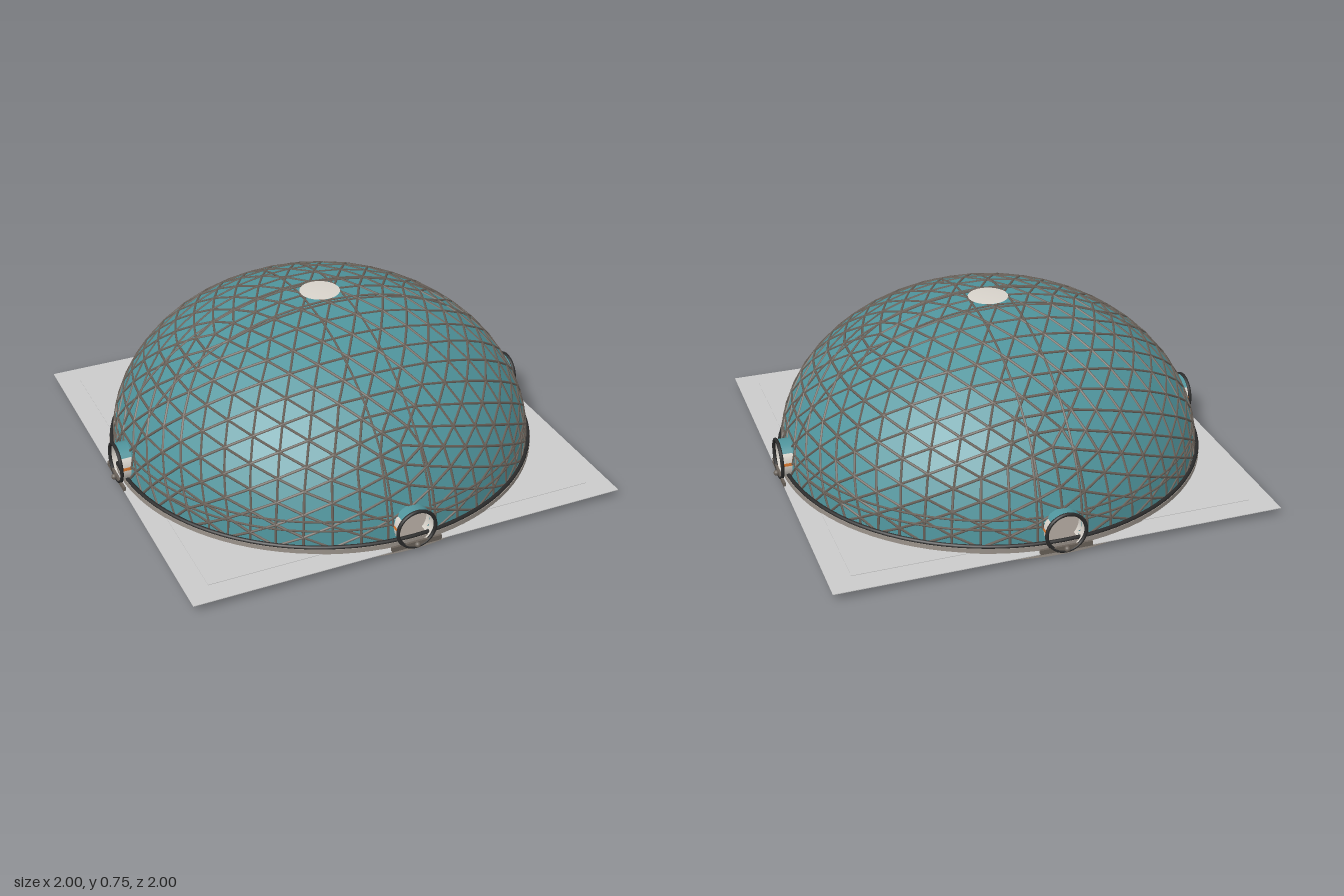
import * as THREE from 'three';
import { mergeGeometries } from 'three/addons/utils/BufferGeometryUtils.js';

const R = 0.94, H = 0.695, BASE = 0.05;          // dome radius, rise and springing height
const DOOR_Y = 0.11, DOOR_R = 0.086;             // portal axis height and radius

const paint = (color, extra = {}) => new THREE.MeshStandardMaterial({ color, ...extra });
const teal = paint(0x4f949c, { side: THREE.DoubleSide, flatShading: true });
const tealSmooth = paint(0x4f949c, { side: THREE.DoubleSide });
const steel = paint(0x6a625a);
const dark = paint(0x2b2b2b);
const stone = paint(0x9a928a);
const pale = paint(0xd8d3cb, { side: THREE.DoubleSide });
const orange = paint(0xd9772f, { side: THREE.DoubleSide });
const grey = paint(0xcccccc);

function add(parent, name, geometry, material, x = 0, y = 0, z = 0) {
  const mesh = new THREE.Mesh(geometry, material);
  mesh.name = name;
  mesh.position.set(x, y, z);
  parent.add(mesh);
  return mesh;
}

// True where a point of the shell lies in one of the four doorways
function inDoor(p) {
  const across = Math.min(Math.abs(p.x), Math.abs(p.z));
  return p.y < 0.167 && Math.hypot(across, p.y - DOOR_Y) < DOOR_R - 0.004;
}
const centre = (...pts) => pts.reduce((s, p) => s.add(p), new THREE.Vector3()).divideScalar(pts.length);

// Geodesic triangles of the upper half, flattened to the dome's proportions
function domeTriangles() {
  const pos = new THREE.IcosahedronGeometry(1, 8).attributes.position;
  const tris = [];
  for (let i = 0; i < pos.count; i += 3) {
    const t = [0, 1, 2].map((k) => new THREE.Vector3().fromBufferAttribute(pos, i + k));
    if (t.every((p) => p.y < 0.001)) continue;
    t.forEach((p) => {
      p.y = Math.max(p.y, 0);
      p.normalize().multiply(new THREE.Vector3(R, H, R));
      p.y += BASE;
    });
    tris.push(t);
  }
  return tris;
}

// Panels, split finely around the doorways so that these can be cut out
function panelGeometry(tris) {
  const out = [];
  const emit = (a, b, c, level) => {
    const m = centre(a, b, c);
    const near = m.y < 0.3 && Math.min(Math.abs(m.x), Math.abs(m.z)) < 0.2;
    if (near && level < 3) {
      const ab = centre(a, b), bc = centre(b, c), ca = centre(c, a);
      [[a, ab, ca], [ab, b, bc], [ca, bc, c], [ab, bc, ca]].forEach((t) => emit(...t, level + 1));
    } else if (!inDoor(m)) out.push(a, b, c);
  };
  tris.forEach((t) => emit(...t, 0));
  const g = new THREE.BufferGeometry().setFromPoints(out);
  g.computeVertexNormals();
  return g;
}

// One thin square strut along each triangle edge
function strutGeometry(tris) {
  const seen = new Set(), parts = [], up = new THREE.Vector3(0, 1, 0);
  const key = (p) => p.toArray().map((v) => Math.round(v * 1000)).join();
  for (const t of tris) {
    for (let k = 0; k < 3; k++) {
      const a = t[k], b = t[(k + 1) % 3], mid = centre(a, b), id = [key(a), key(b)].sort().join('|');
      const len = a.distanceTo(b);
      if (seen.has(id) || len < 0.01 || inDoor(mid)) continue;
      seen.add(id);
      const g = new THREE.CylinderGeometry(0.006, 0.006, len, 5, 1, true);
      g.applyQuaternion(new THREE.Quaternion().setFromUnitVectors(up, b.clone().sub(a).normalize()));
      parts.push(g.translate(mid.x, mid.y, mid.z));
    }
  }
  return mergeGeometries(parts);
}

// Tube along a curve given by a function of t in 0..1
function tube(fn, segments, radius) {
  const pts = Array.from({ length: 33 }, (_, i) => fn(i / 32));
  return new THREE.TubeGeometry(new THREE.CatmullRomCurve3(pts), segments, radius, 5);
}

// Paired arches over the dome, and hoops between the portals
function ribGeometry() {
  const parts = [];
  for (const c of [-0.087, 0.087]) {
    const k = Math.sqrt(1 - (c / R) ** 2);
    const arch = tube((s) => {
      const t = 0.1 + s * (Math.PI - 0.2);
      return new THREE.Vector3(c, BASE + H * k * Math.sin(t), R * k * Math.cos(t));
    }, 64, 0.005);
    parts.push(arch, arch.clone().rotateY(Math.PI / 2));
  }
  for (const y of [0.13, 0.17]) {
    const r = R * Math.sqrt(1 - ((y - BASE) / H) ** 2);
    for (let i = 0; i < 4; i++) {
      parts.push(tube((s) => {
        const a = i * Math.PI / 2 + 0.1 + s * (Math.PI / 2 - 0.2);
        return new THREE.Vector3(r * Math.cos(a), y, r * Math.sin(a));
      }, 32, 0.005));
    }
  }
  return mergeGeometries(parts);
}

// Entrance facing +z: lined tunnel, stripes, rim, threshold bar and knob
function makePortal() {
  const g = new THREE.Group();
  g.name = 'portal';
  const arc = (name, r, from, length, material) => add(g, name,
    new THREE.CylinderGeometry(r, r, 0.075, 32, 1, true, from, length).rotateX(Math.PI / 2),
    material, 0, DOOR_Y, 0.938);
  arc('tunnelLining', DOOR_R - 0.003, 0, Math.PI * 2, pale);
  arc('tunnelRoof', DOOR_R, Math.PI - 0.87, 1.74, tealSmooth);
  for (const side of [-1, 1]) arc('tunnelStripe', DOOR_R, Math.PI + side * 1.45 - 0.08, 0.16, orange);
  add(g, 'portalRim', new THREE.TorusGeometry(DOOR_R, 0.008, 8, 40), dark, 0, DOOR_Y, 0.975);
  add(g, 'thresholdBar', new THREE.BoxGeometry(0.23, 0.022, 0.01), steel, 0, 0.04, 0.976);
  add(g, 'thresholdKnob', new THREE.SphereGeometry(0.013, 16, 10), steel, 0, 0.04, 0.987);
  return g;
}

export function createModel() {
  const model = new THREE.Group();
  model.name = 'geodesicDome';

  // Ground plates and round plinth
  add(model, 'groundPlate', new THREE.BoxGeometry(1.96, 0.003, 1.96), grey, 0, 0.032, 0);
  add(model, 'innerPlate', new THREE.BoxGeometry(1.76, 0.003, 1.76), grey, 0, 0.0345, 0);
  add(model, 'plinth', new THREE.CylinderGeometry(0.96, 0.96, 0.056, 96), stone, 0, 0.028, 0);
  add(model, 'baseRing', new THREE.TorusGeometry(0.95, 0.009, 8, 96).rotateX(Math.PI / 2), dark, 0, 0.06, 0);

  // Dome
  const tris = domeTriangles();
  add(model, 'domePanels', panelGeometry(tris), teal);
  add(model, 'domeStruts', strutGeometry(tris), steel);
  add(model, 'domeRibs', ribGeometry(), steel);
  add(model, 'skylight', new THREE.SphereGeometry(1, 32, 6, 0, Math.PI * 2, 0, 0.094)
    .scale(R + 0.01, H + 0.008, R + 0.01), pale, 0, BASE, 0);

  // Four portals
  for (let i = 0; i < 4; i++) {
    const portal = makePortal();
    portal.rotation.y = i * Math.PI / 2;
    model.add(portal);
  }
  return model;
}
